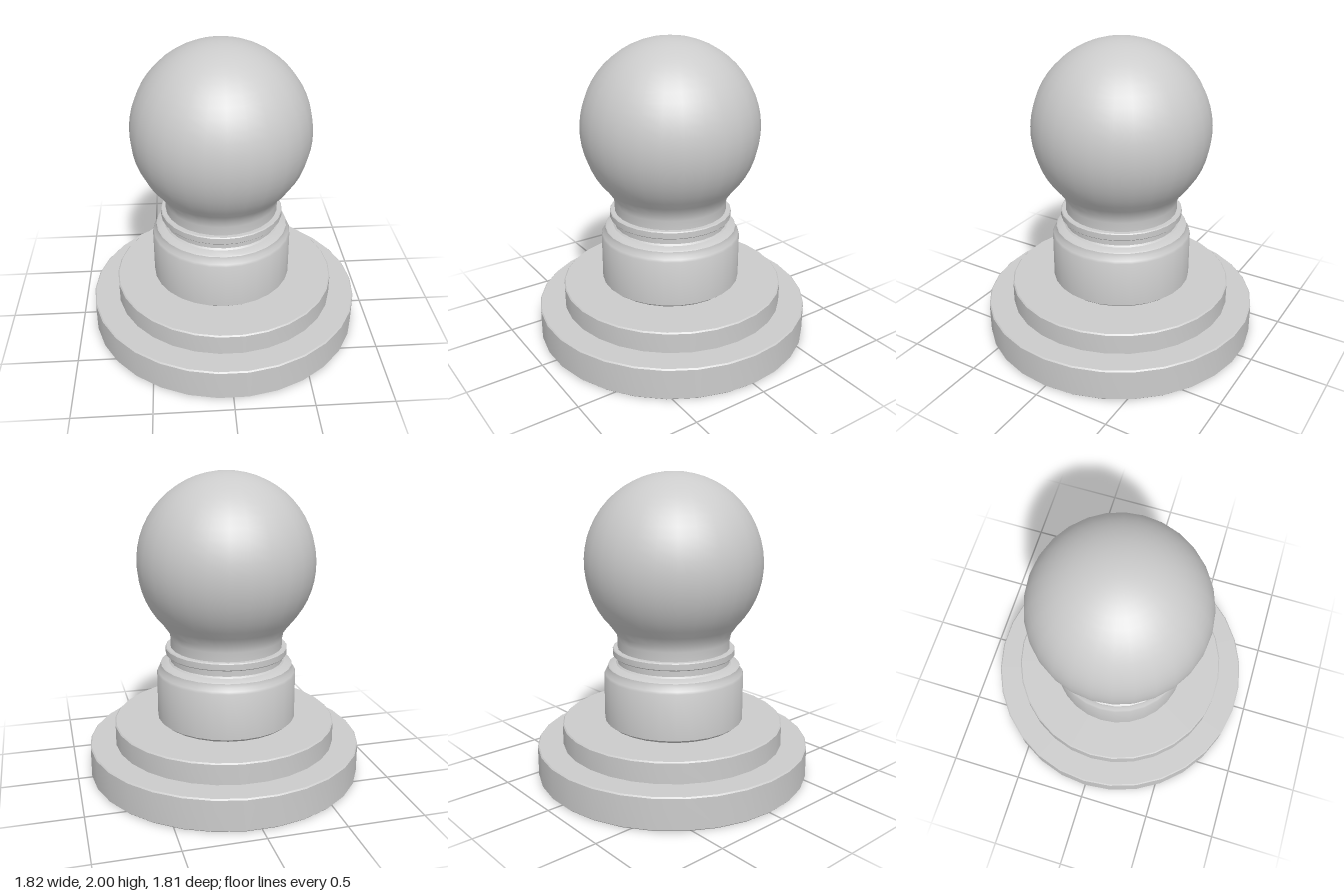
import * as THREE from 'three';
import { toCreasedNormals } from 'three/addons/utils/BufferGeometryUtils.js';

const AXIS_X = -0.017; // the lamp sits slightly off the plinth's centre

export function createModel() {
  const model = new THREE.Group();
  const material = new THREE.MeshStandardMaterial({ color: 0xcccccc });

  // Turned part from [radius, height] pairs, listed from bottom to top
  function turned(name, profile, segments, x = 0) {
    const points = profile.map(([r, y]) => new THREE.Vector2(r, y));
    const lathe = new THREE.LatheGeometry(points, segments, Math.PI / 2);
    const mesh = new THREE.Mesh(toCreasedNormals(lathe, 0.6), material);
    mesh.name = name;
    mesh.position.x = x;
    model.add(mesh);
  }

  // Closed disc with small bevels on its rims
  function disc(name, radius, bottom, top, bevel, segments, x) {
    turned(name, [
      [0, bottom], [radius - bevel, bottom], [radius, bottom + bevel],
      [radius, top - bevel], [radius - bevel, top], [0, top],
    ], segments, x);
  }

  // Stepped plinth
  disc('lowerPlinth', 0.91, 0, 0.215, 0.008, 30);
  disc('upperPlinth', 0.74, 0.2, 0.355, 0.008, 30);

  // Socket with a chamfered foot and stepped shoulder
  turned('socket', [
    [0, 0.35], [0.435, 0.35], [0.465, 0.375], [0.465, 0.68], [0.458, 0.695],
    [0.443, 0.715], [0.439, 0.74], [0.43, 0.747], [0.385, 0.755],
    [0.375, 0.765], [0.375, 0.82], [0, 0.82],
  ], 28, AXIS_X);

  // Collar ring
  disc('collar', 0.405, 0.81, 0.86, 0.006, 28, AXIS_X);

  // Globe bulb flowing into its neck
  const radius = 0.58, centreY = 1.42;
  const bulb = [[0.372, 0.85], [0.372, 0.92], [0.38, 0.962]];
  const start = -0.76, steps = 20;
  for (let i = 0; i <= steps; i++) {
    const a = start + (Math.PI / 2 - start) * i / steps;
    bulb.push([Math.max(0, radius * Math.cos(a)), centreY + radius * Math.sin(a)]);
  }
  turned('bulb', bulb, 28, AXIS_X);

  return model;
}
